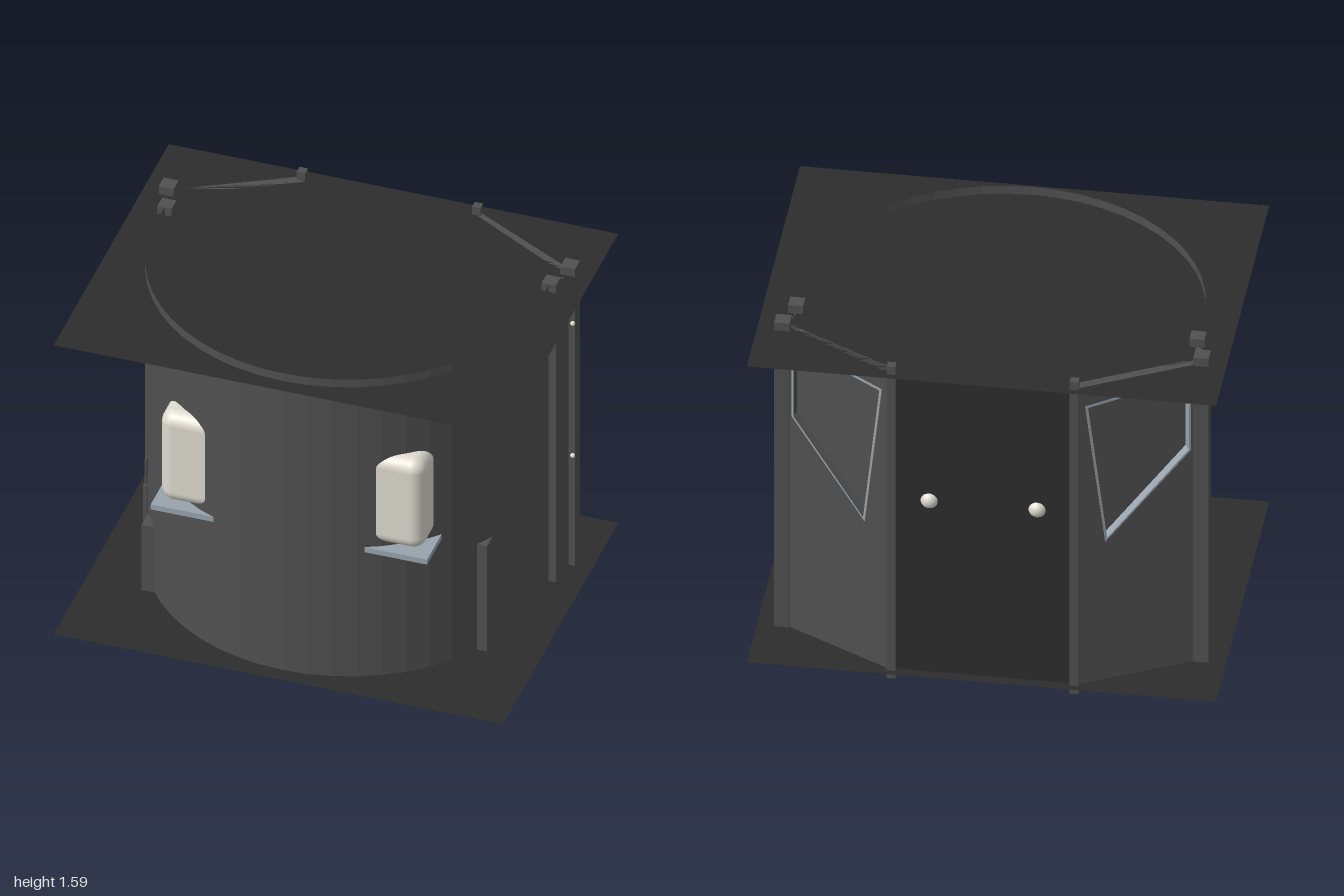
import * as THREE from 'three';
import { RoundedBoxGeometry } from 'three/addons/geometries/RoundedBoxGeometry.js';

const mat = (name, color, extra = {}) => {
  const m = new THREE.MeshStandardMaterial({ color, ...extra });
  m.name = name;
  return m;
};

export function createModel() {
  const root = new THREE.Group();
  root.name = 'booth';
  const grey = mat('wallGrey', 0x505050, { flatShading: true, side: THREE.DoubleSide });
  const dark = mat('charcoal', 0x2d2d2d, { side: THREE.DoubleSide });
  const cream = mat('cream', 0xdedacf);
  const steel = mat('steelBlue', 0x97a3ad);

  const add = (name, geo, material, x = 0, y = 0, z = 0, parent = root) => {
    const m = new THREE.Mesh(geo, material);
    m.name = name;
    m.position.set(x, y, z);
    parent.add(m);
    return m;
  };
  // box given by its min and max corners
  const box = (name, material, x0, x1, y0, y1, z0, z1) =>
    add(name, new THREE.BoxGeometry(x1 - x0, y1 - y0, z1 - z0), material,
      (x0 + x1) / 2, (y0 + y1) / 2, (z0 + z1) / 2);

  const H = 1.59, FLOOR = 0.04, CEIL = 1.55;

  // floor and roof sheets, with a pale ceiling just under the roof
  const sheet = (w, d, tilt) => new THREE.PlaneGeometry(w, d).rotateX(tilt);
  add('floor', sheet(2, 1.514, -Math.PI / 2), dark, 0, FLOOR, 0);
  add('roof', sheet(2, 1.514, -Math.PI / 2), dark, 0, CEIL, 0);
  add('ceiling', sheet(1.95, 1.464, Math.PI / 2), cream, 0, CEIL - 0.004, 0);

  // curved front wall
  const half = Math.PI / 2 + 0.14;
  add('curvedWall', new THREE.CylinderGeometry(0.86, 0.86, H, 28, 1, true, -half, 2 * half),
    grey, 0, H / 2, -0.17);

  // outline made from [u, y] points, mirrored by side
  const outline = (pts, s, Type) => new Type(pts.map(([u, y]) => new THREE.Vector2(u * s, y)));
  const L = Math.hypot(0.5, 0.27);
  const panelPts = [[0, FLOOR], [L, FLOOR], [L, CEIL], [0, CEIL]];
  const windowPts = [[0.05, 1.5], [0.525, 1.45], [0.435, 0.74], [0.05, 1.12]];
  const innerPts = windowPts.map(([u, y]) => [0.265 + (u - 0.265) * 0.95, 1.2 + (y - 1.2) * 0.96]);
  const extrude = (shape, depth) => new THREE.ExtrudeGeometry(shape, { depth, bevelEnabled: false });

  for (const s of [1, -1]) {
    // posts
    for (const [x, z, w] of [[0.855, -0.303, 0.064], [0.893, -0.44, 0.066], [0.39, -0.71, 0.037]])
      add('post', new THREE.BoxGeometry(w, H, w), grey, s * x, H / 2, z);

    // short side panel between the two outer posts
    const side = add('sidePanel', new THREE.BoxGeometry(0.025, CEIL - FLOOR, 0.14), grey,
      s * 0.874, (CEIL + FLOOR) / 2, -0.372);
    side.rotation.y = -s * 0.27;

    // angled rear wall with a recessed four-sided window
    const rear = new THREE.Group();
    rear.name = 'angledWall';
    rear.position.set(s * 0.89, 0, -0.44);
    rear.rotation.y = Math.atan2(s * 0.27, -0.5);
    root.add(rear);
    const panel = outline(panelPts, s, THREE.Shape);
    panel.holes.push(outline(windowPts, s, THREE.Path));
    add('rearPanel', extrude(panel, 0.04), grey, 0, 0, -0.03, rear);
    const frame = outline(windowPts, s, THREE.Shape);
    frame.holes.push(outline(innerPts, s, THREE.Path));
    add('windowFrame', extrude(frame, 0.044), steel, 0, 0, -0.032, rear);
    add('windowPane', extrude(outline(windowPts, s, THREE.Shape), 0.008), grey, 0, 0, -0.036, rear);

    // rounded lantern standing on a ledge, set into the curved wall
    add('lantern', new RoundedBoxGeometry(0.32, 0.46, 0.28, 5, 0.06), cream, s * 0.428, 0.95, 0.46);
    add('ledge', new THREE.BoxGeometry(0.36, 0.026, 0.28), steel, s * 0.435, 0.7, 0.48);

    // door knob
    add('doorKnob', new THREE.SphereGeometry(0.04, 20, 14), cream, s * 0.23, 0.91, -0.695);
  }

  // rear double door
  box('door', dark, -0.39, 0.39, FLOOR, CEIL, -0.71, -0.69);

  // upright blocks poking through the foot of the curved wall
  box('footBlock', grey, 0.72, 0.77, FLOOR, 0.59, 0.215, 0.29);
  box('footBlock', grey, -0.75, -0.69, FLOOR, 0.38, 0.24, 0.34);
  box('footBlock', grey, -0.775, -0.755, FLOOR, 0.52, 0.18, 0.25);
  box('footBlock', grey, -0.77, -0.762, FLOOR, 0.65, 0.18, 0.24);

  // small studs on the right-hand side
  for (const y of [0.62, 1.31])
    add('stud', new THREE.SphereGeometry(0.011, 10, 8), cream, 0.918, y, -0.4);

  return root;
}
